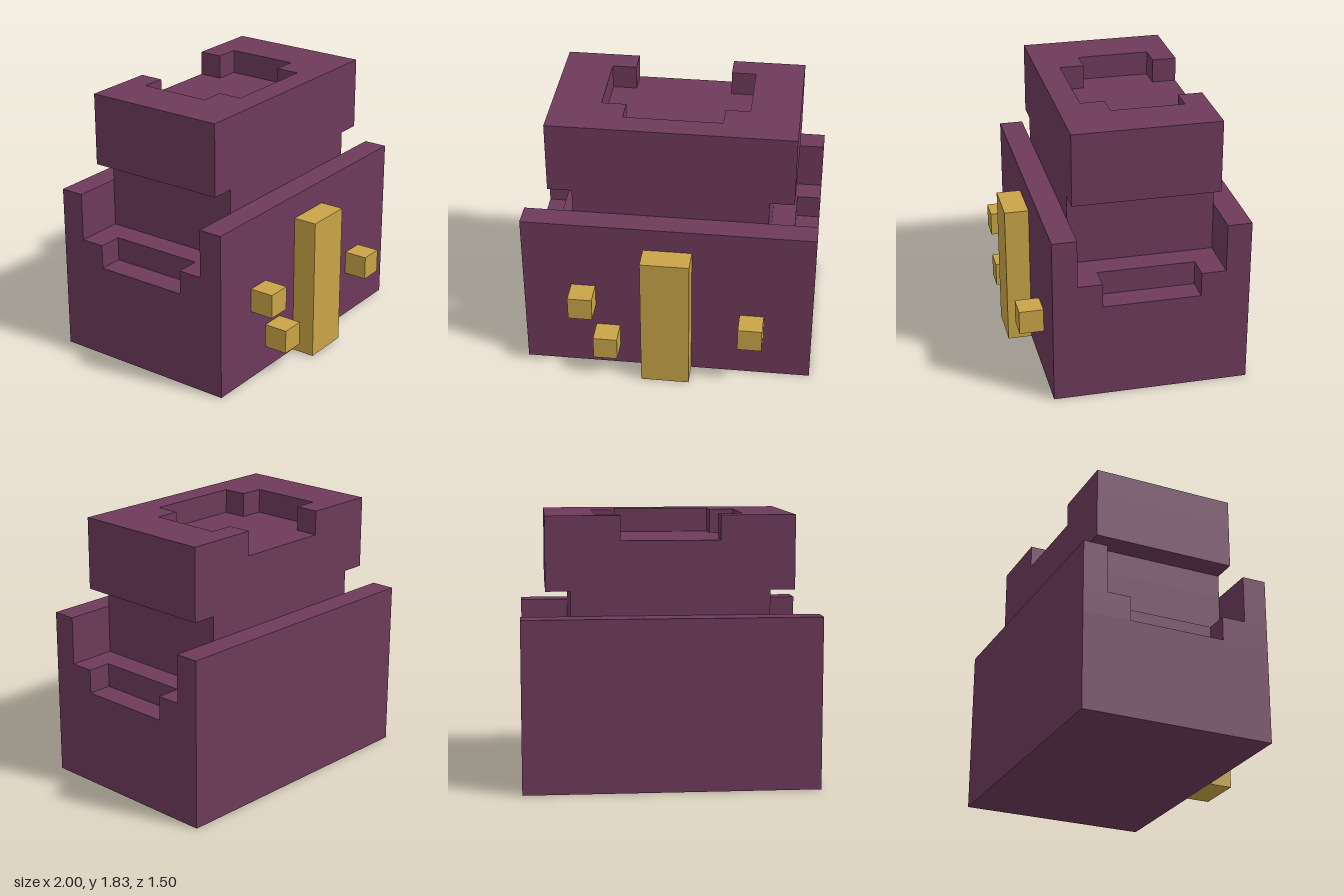
import * as THREE from 'three';

const U = 1 / 6; // size of one block

const plum = new THREE.MeshStandardMaterial({ color: 0x6d3a5a });
plum.name = 'plum';
const gold = new THREE.MeshStandardMaterial({ color: 0xc9a447 });
gold.name = 'gold';

// Horizontal slab between y0 and y1; half is the +x side of its plan as [x, z], mirrored to -x
function slab(name, half, y0, y1) {
  const outline = [...half, ...half.map(([x, z]) => [-x, z]).reverse()];
  const shape = new THREE.Shape(outline.map(([x, z]) => new THREE.Vector2(x * U, -z * U)));
  const geometry = new THREE.ExtrudeGeometry(shape, { depth: (y1 - y0) * U, bevelEnabled: false });
  geometry.rotateX(-Math.PI / 2);
  const mesh = new THREE.Mesh(geometry, plum);
  mesh.name = name;
  mesh.position.y = y0 * U;
  return mesh;
}

// Gold block on the front face
function frontBlock(name, x0, x1, y0, y1) {
  const mesh = new THREE.Mesh(new THREE.BoxGeometry((x1 - x0) * U, (y1 - y0) * U, U), gold);
  mesh.name = name;
  mesh.position.set((x0 + x1) / 2 * U, (y0 + y1) / 2 * U, 4 * U);
  return mesh;
}

export function createModel() {
  const model = new THREE.Group();
  model.name = 'blockBuilding';

  model.add(
    // Body, with a stepped recess in each side
    slab('bodyBase', [[6, 3.5], [6, -4.5]], 0, 4),
    slab('bodyLowerRecess', [[6, 3.5], [6, 1.5], [5, 1.5], [5, -2.5], [6, -2.5], [6, -4.5]], 4, 5),
    slab('bodyUpperRecess', [[6, 3.5], [6, 2.5], [4, 2.5], [4, -3.5], [6, -3.5], [6, -4.5]], 5, 7),
    // Neck and overhanging top
    slab('neck', [[4, 2.5], [4, -3.5]], 7, 8),
    slab('topBlock', [[5, 2.5], [5, -3.5]], 8, 10),
    // Rim around the sunken top, open at the back
    slab('topRim', [[5, 2.5], [5, -3.5], [2, -3.5], [2, -2.5], [3, -2.5], [3, 0.5], [2, 0.5], [2, 1.5]], 10, 11),
    // Front post and studs
    frontBlock('frontPost', -1, 1, 0, 6),
    frontBlock('upperRightStud', -4, -3, 3, 4),
    frontBlock('lowerRightStud', -3, -2, 1, 2),
    frontBlock('leftStud', 3, 4, 2, 3),
  );
  return model;
}
